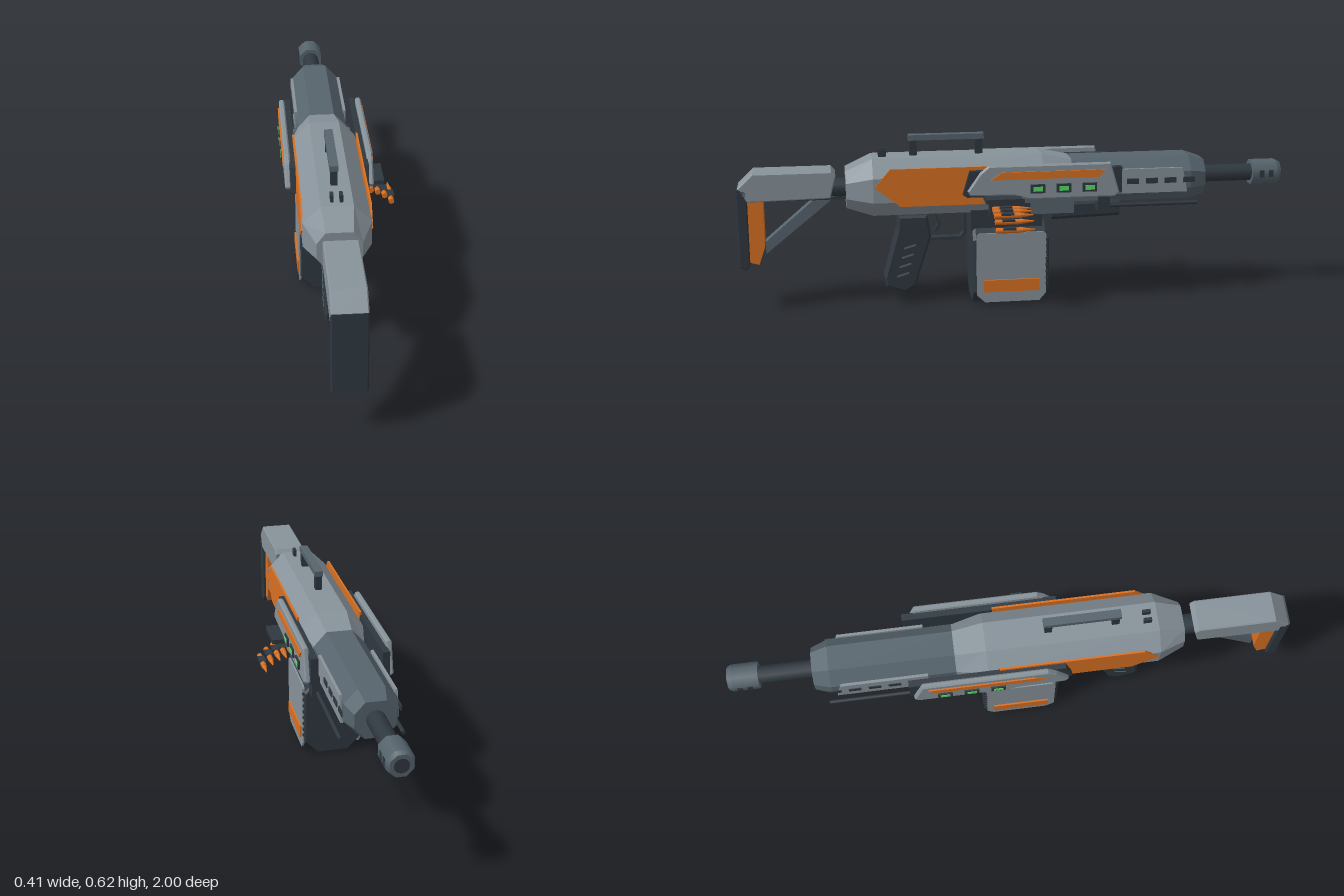
import * as THREE from 'three';

const mat = (name, color) => Object.assign(new THREE.MeshStandardMaterial({ color }), { name });

export function createModel() {
  const grey = mat('lightGrey', 0x87929a), steel = mat('steel', 0x56646d), dark = mat('darkMetal', 0x2f3840);
  const orange = mat('orange', 0xd87022), green = mat('green', 0x55dd66);
  const model = new THREE.Group();
  model.name = 'rifle';
  const gun = new THREE.Group();
  gun.name = 'gun';
  gun.position.x = -0.04;
  model.add(gun);

  const add = (name, geo, m) => {
    const mesh = new THREE.Mesh(geo, m);
    mesh.name = name;
    gun.add(mesh);
    return mesh;
  };
  // Box given by its limits on each axis
  const box = (name, m, x0, x1, y0, y1, z0, z1) => {
    const b = add(name, new THREE.BoxGeometry(Math.abs(x1 - x0), y1 - y0, z1 - z0), m);
    b.position.set((x0 + x1) / 2, (y0 + y1) / 2, (z0 + z1) / 2);
    return b;
  };
  // Side profile of [z, y] points, extruded from x0 to x1
  const plate = (name, m, pts, x0, x1, bevel = 0) => {
    const shape = new THREE.Shape(pts.map(p => new THREE.Vector2(p[0], p[1])));
    const geo = new THREE.ExtrudeGeometry(shape, {
      depth: Math.abs(x1 - x0) - 2 * bevel, bevelEnabled: bevel > 0, bevelSize: bevel,
      bevelOffset: -bevel, bevelThickness: bevel, bevelSegments: 1,
    });
    geo.rotateY(-Math.PI / 2).translate(Math.max(x0, x1) - bevel, 0, 0);
    return add(name, geo, m);
  };
  // Chamfered sections [z, halfWidth, y0, y1, chamferX, chamferY], rising in z
  const loft = (name, m, sections) => {
    const rings = sections.map(([z, w, a, b, cx, cy]) => [
      [w, a + cy, z], [w, b - cy, z], [w - cx, b, z], [cx - w, b, z],
      [-w, b - cy, z], [-w, a + cy, z], [cx - w, a, z], [w - cx, a, z]]);
    const pos = [];
    const tri = (...p) => p.forEach(v => pos.push(...v));
    for (let k = 0; k + 1 < rings.length; k++) {
      for (let i = 0; i < 8; i++) {
        const j = (i + 1) % 8, p = rings[k], q = rings[k + 1];
        tri(q[i], p[i], p[j]);
        tri(q[i], p[j], q[j]);
      }
    }
    const first = rings[0], last = rings[rings.length - 1];
    for (let i = 1; i < 7; i++) {
      tri(last[0], last[i], last[i + 1]);
      tri(first[0], first[i + 1], first[i]);
    }
    const geo = new THREE.BufferGeometry();
    geo.setAttribute('position', new THREE.Float32BufferAttribute(pos, 3));
    geo.computeVertexNormals();
    return add(name, geo, m);
  };
  const tube = (name, m, r, z0, z1, x, y, sides = 12, rFront = r) => {
    const geo = new THREE.CylinderGeometry(r, rFront, z1 - z0, sides).rotateX(Math.PI / 2);
    const t = add(name, sides <= 8 ? geo.rotateZ(Math.PI / sides) : geo, m);
    t.position.set(x, y, (z0 + z1) / 2);
    return t;
  };

  // Receiver and handguard
  loft('receiver', grey, [
    [-0.2, 0.09, 0.355, 0.525, 0.045, 0.05], [-0.09, 0.114, 0.34, 0.548, 0.06, 0.06],
    [0.52, 0.114, 0.34, 0.548, 0.06, 0.06], [0.615, 0.075, 0.37, 0.505, 0.03, 0.04]]);
  loft('handguard', steel, [
    [-0.7, 0.07, 0.375, 0.505, 0.035, 0.04], [-0.64, 0.09, 0.362, 0.525, 0.045, 0.05],
    [-0.15, 0.09, 0.362, 0.525, 0.045, 0.05]]);

  // Barrel and muzzle
  tube('barrel', dark, 0.032, -0.9, -0.69, 0, 0.443);
  tube('muzzle', steel, 0.048, -0.985, -0.89, 0, 0.443, 8);
  tube('muzzleLip', steel, 0.048, -1, -0.985, 0, 0.443, 8, 0.04);
  tube('muzzleBore', dark, 0.025, -1.001, -0.99, 0, 0.443);

  // Stock
  tube('stockNeck', dark, 0.036, 0.6, 0.68, 0, 0.437);
  plate('cheekRest', grey, [[0.995, 0.455], [0.94, 0.507], [0.665, 0.507], [0.65, 0.49], [0.67, 0.41], [0.965, 0.405]],
    -0.058, 0.058, 0.004);
  plate('buttPad', dark, [[1, 0.457], [0.962, 0.445], [0.962, 0.172], [0.975, 0.155], [1, 0.17]], -0.058, 0.058, 0.004);
  plate('buttFrame', orange, [[0.965, 0.41], [0.908, 0.41], [0.908, 0.235], [0.93, 0.172], [0.965, 0.182]], -0.045, 0.045);
  plate('stockStrut', steel, [[0.905, 0.25], [0.715, 0.412], [0.655, 0.412], [0.67, 0.395], [0.905, 0.205]], -0.024, 0.024);
  box('stockRail', dark, -0.025, 0.025, 0.398, 0.408, 0.6, 0.88);

  // Carry handle and rear sight
  box('handleBar', steel, -0.015, 0.015, 0.602, 0.622, 0.115, 0.387);
  for (const z of [0.12, 0.357]) box('handlePost', dark, -0.012, 0.012, 0.54, 0.604, z, z + 0.026);
  for (const s of [-1, 1]) box('rearSight', dark, s * 0.01, s * 0.021, 0.54, 0.574, 0.468, 0.496);

  // Pistol grip, trigger and guard
  plate('grip', dark, [[0.325, 0.33], [0.43, 0.33], [0.435, 0.28], [0.485, 0.1], [0.48, 0.065], [0.41, 0.042],
    [0.372, 0.065], [0.312, 0.25]], -0.04, 0.04, 0.008);
  for (let i = 0; i < 4; i++) {
    const ridge = box('gripRidge', steel, -0.042, 0.042, 0.107 + i * 0.035, 0.113 + i * 0.035, 0.395 - i * 0.009, 0.44 - i * 0.009);
    ridge.rotation.x = 0.3;
  }
  plate('triggerGuard', dark, [[0.335, 0.25], [0.32, 0.228], [0.2, 0.228], [0.18, 0.25], [0.18, 0.345], [0.192, 0.345],
    [0.192, 0.255], [0.205, 0.24], [0.315, 0.24], [0.325, 0.255]], -0.016, 0.016);
  plate('trigger', dark, [[0.3, 0.34], [0.275, 0.34], [0.285, 0.29], [0.3, 0.262], [0.289, 0.26], [0.272, 0.285]].reverse(), -0.01, 0.01);

  // Magazine
  box('magazineWell', dark, -0.07, 0.07, 0.265, 0.35, -0.09, 0.17);
  loft('magazine', dark, [
    [-0.112, 0.1, 0.004, 0.29, 0.046, 0.046], [-0.1, 0.105, 0, 0.296, 0.048, 0.048],
    [0.155, 0.105, 0, 0.296, 0.048, 0.048], [0.166, 0.1, 0.004, 0.29, 0.046, 0.046]]);

  // Underbarrel box
  loft('underbarrelBox', dark, [
    [-0.38, 0.062, 0.308, 0.37, 0.012, 0.012], [-0.125, 0.07, 0.303, 0.37, 0.012, 0.012]]);

  // Parts mirrored on both sides
  for (const s of [-1, 1]) {
    plate('magazineSidePlate', grey, [[0.155, 0.04], [0.125, 0.012], [-0.075, 0.012], [-0.1, 0.04], [-0.1, 0.262],
      [-0.09, 0.272], [0.145, 0.272], [0.155, 0.262]].reverse(), s * 0.102, s * 0.109);
    box('magazineBand', orange, s * 0.108, s * 0.115, 0.052, 0.097, -0.075, 0.13);
    for (let i = 0; i < 8; i++) box('magazineNotch', dark, s * 0.104, s * 0.11, 0.07 + i * 0.024, 0.08 + i * 0.024, -0.106, -0.098);

    // Receiver side panel and lower rail
    plate('sidePanel', orange, [[0.515, 0.457], [0.46, 0.522], [-0.05, 0.522], [-0.05, 0.405], [0.02, 0.385], [0.425, 0.385]],
      s * 0.111, s * 0.118);
    box('lowerRail', steel, s * 0.08, s * 0.116, 0.34, 0.383, -0.2, 0.03);
    box('railSocket', dark, s * 0.092, s * 0.106, 0.344, 0.358, 0.02, 0.032);
    box('railBracket', dark, s * 0.08, s * 0.125, 0.345, 0.42, -0.33, -0.285);
    box('railBracketArm', steel, s * 0.08, s * 0.125, 0.385, 0.42, -0.3, -0.02);

    // Armour module with stripe and lights
    plate('moduleBacking', dark, [[0.205, 0.425], [0.18, 0.51], [-0.37, 0.51], [-0.37, 0.415], [0.19, 0.415]], s * 0.112, s * 0.137);
    plate('modulePanel', grey, [[0.19, 0.44], [0.145, 0.505], [0.115, 0.53], [-0.325, 0.53], [-0.358, 0.42], [-0.34, 0.405],
      [-0.03, 0.405], [0.02, 0.42], [0.18, 0.425]], s * 0.134, s * 0.155, 0.005);
    plate('moduleStripe', orange, [[0.108, 0.48], [0.07, 0.507], [-0.305, 0.507], [-0.28, 0.48]], s * 0.153, s * 0.16);
    for (let i = 0; i < 3; i++) {
      const z = -0.06 - i * 0.094;
      box('lightHousing', dark, s * 0.153, s * 0.161, 0.428, 0.46, z - 0.026, z + 0.026);
      box('light', green, s * 0.16, s * 0.163, 0.435, 0.452, z - 0.017, z + 0.017);
    }

    // Handguard vents and rod
    plate('ventPanel', grey, [[-0.3, 0.4], [-0.3, 0.49], [-0.605, 0.49], [-0.625, 0.4]], s * 0.087, s * 0.097);
    for (let i = 0; i < 4; i++) {
      const z = -0.42 - i * 0.07;
      box('ventSlot', dark, s * 0.096, s * 0.1, 0.435, 0.455, z - 0.022, z + 0.022);
    }
    tube('guideRod', dark, 0.007, -0.66, -0.3, s * 0.105, 0.36, 8);

    // Muzzle ports
    for (const z of [-0.925, -0.96]) box('muzzlePort', dark, s * 0.042, s * 0.0465, 0.43, 0.456, z - 0.009, z + 0.009);
  }

  // Feed tray and hanging cartridge belt on the left
  box('feedTray', dark, 0.11, 0.198, 0.403, 0.419, 0, 0.13);
  box('feedPort', dark, 0.1, 0.122, 0.34, 0.4, -0.04, 0.11);
  const belt = [[0.13, 0.367], [0.155, 0.363], [0.179, 0.355], [0.204, 0.339], [0.229, 0.315]];
  for (const [x, y] of belt) {
    tube('cartridge', orange, 0.01, 0.005, 0.1, x, y);
    tube('cartridgeTip', orange, 0.009, -0.04, 0.005, x, y, 12, 0.002);
    box('beltLink', dark, x - 0.013, x + 0.013, y + 0.003, y + 0.01, 0.03, 0.075);
  }
  return model;
}
